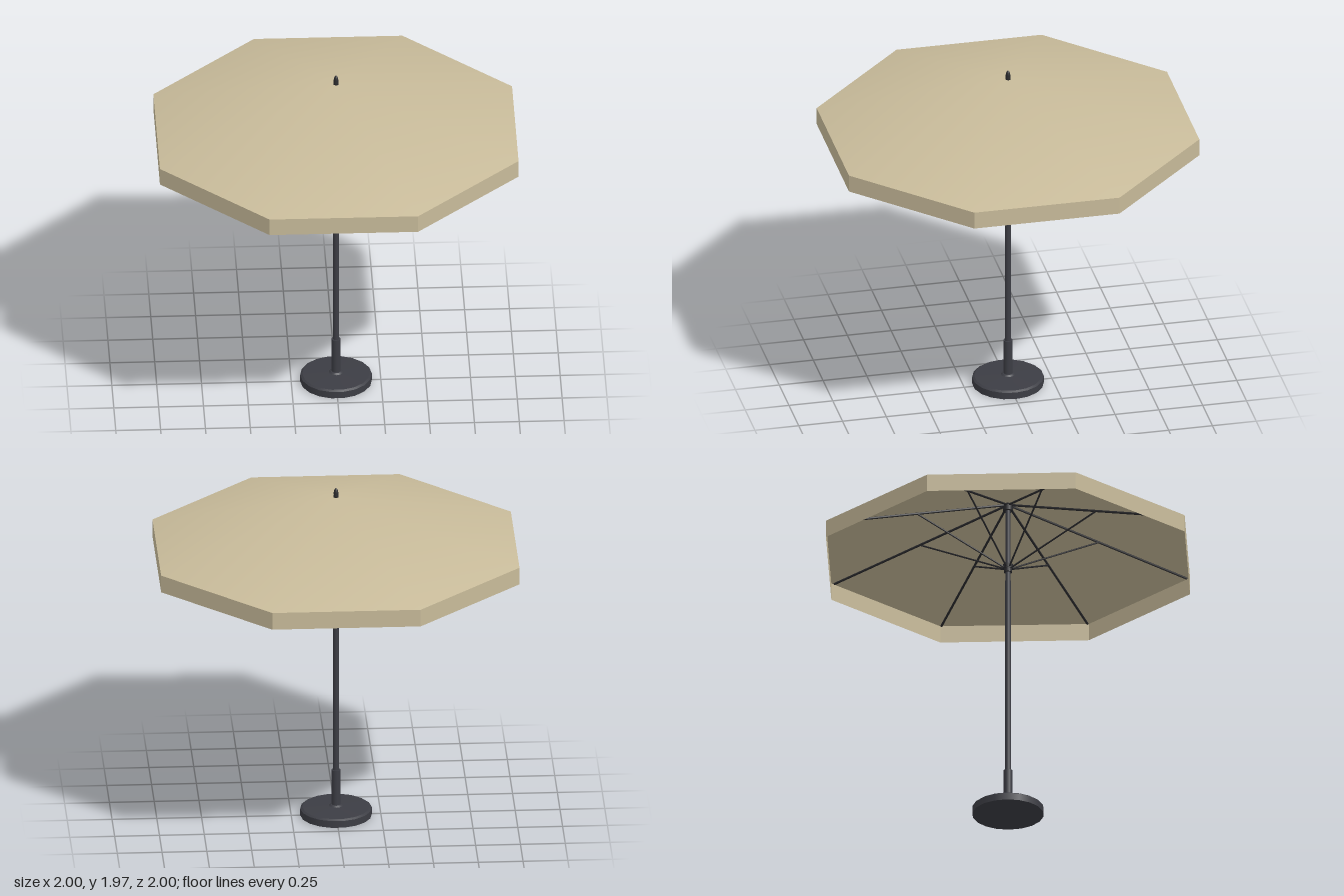
import * as THREE from 'three';
import { mergeVertices } from 'three/addons/utils/BufferGeometryUtils.js';

const SIDES = 8;
const RIM = 1 / Math.cos(Math.PI / SIDES); // corner radius for a half width of 1
const APEX_Y = 1.915, RIM_Y = 1.63, HEM_Y = 1.53;

export function createModel() {
  const fabric = new THREE.MeshStandardMaterial({ color: 0xc8bb9a, side: THREE.DoubleSide });
  fabric.name = 'beige fabric';
  const metal = new THREE.MeshStandardMaterial({ color: 0x3c3d44 });
  metal.name = 'charcoal metal';
  const dark = new THREE.MeshStandardMaterial({ color: 0x2a2a2d });
  dark.name = 'dark frame';

  const model = new THREE.Group();
  model.name = 'parasol';

  const add = (name, geometry, material, y = 0, parent = model) => {
    const mesh = new THREE.Mesh(geometry, material);
    mesh.name = name;
    mesh.position.y = y;
    parent.add(mesh);
    return mesh;
  };
  // Upright round part between two heights
  const column = (name, rTop, rBottom, y0, y1, material, sides = 16) =>
    add(name, new THREE.CylinderGeometry(rTop, rBottom, y1 - y0, sides), material, (y0 + y1) / 2);
  // Slim round bar between two points
  const bar = (name, a, b, radius, parent) => {
    const dir = b.clone().sub(a);
    const mesh = add(name, new THREE.CylinderGeometry(radius, radius, dir.length(), 6), dark, 0, parent);
    mesh.position.copy(a).add(b).multiplyScalar(0.5);
    mesh.quaternion.setFromUnitVectors(new THREE.Vector3(0, 1, 0), dir.normalize());
  };

  // Canopy: smoothly shaded eight-sided cone
  let cone = new THREE.ConeGeometry(RIM, APEX_Y - RIM_Y, SIDES, 1, true, Math.PI / SIDES);
  cone.deleteAttribute('normal');
  cone.deleteAttribute('uv');
  cone = mergeVertices(cone, 1e-4);
  cone.computeVertexNormals();
  add('canopy', cone, fabric, (APEX_Y + RIM_Y) / 2);

  // Valance: flat panels hanging from the rim
  const skirt = new THREE.CylinderGeometry(
    RIM, RIM, RIM_Y - HEM_Y, SIDES, 1, true, Math.PI / SIDES).toNonIndexed();
  skirt.computeVertexNormals();
  add('valance', skirt, fabric, (RIM_Y + HEM_Y) / 2);

  // Weighted base: bevelled disc with a shallow domed top
  const sideCount = 18;
  const base = new THREE.Group();
  base.name = 'base';
  base.rotation.y = Math.PI / 2;
  model.add(base);
  add('baseDisc', new THREE.CylinderGeometry(0.2, 0.2, 0.04, sideCount), metal, 0.02, base);
  add('baseBevel', new THREE.CylinderGeometry(0.188, 0.2, 0.008, sideCount), metal, 0.044, base);
  add('baseTop', new THREE.CylinderGeometry(0.045, 0.188, 0.008, sideCount), metal, 0.052, base);
  column('baseCollar', 0.03, 0.042, 0.054, 0.064, metal);
  column('baseSleeve', 0.025, 0.025, 0.05, 0.27, metal);

  // Pole with a slight taper
  column('pole', 0.0145, 0.0178, 0.05, 1.905, metal);

  // Hubs: sliding runner below, fixed crown under the canopy
  column('runnerHub', 0.028, 0.028, 1.51, 1.535, dark);
  column('runnerCollar', 0.023, 0.023, 1.488, 1.51, dark);
  column('crownHub', 0.028, 0.028, 1.865, 1.895, dark);

  // Ribs to each corner, with struts from the runner to their midpoints
  const frame = new THREE.Group();
  frame.name = 'frame';
  model.add(frame);
  const drop = 0.012;
  const roofY = r => APEX_Y - (APEX_Y - RIM_Y) * r / RIM - drop;
  for (let i = 0; i < SIDES; i++) {
    const a = (i + 0.5) * 2 * Math.PI / SIDES;
    const at = (r, y) => new THREE.Vector3(r * Math.sin(a), y, r * Math.cos(a));
    bar('rib', at(0.015, roofY(0.015)), at(1.065, roofY(1.065)), 0.0065, frame);
    bar('strut', at(0.02, 1.515), at(0.54, roofY(0.54)), 0.005, frame);
  }

  // Finial
  const profile = [
    [0, 1.9], [0.015, 1.9], [0.015, 1.92], [0.0125, 1.927], [0.0135, 1.935],
    [0.011, 1.95], [0.006, 1.961], [0, 1.966],
  ].map(([r, y]) => new THREE.Vector2(r, y));
  add('finial', new THREE.LatheGeometry(profile, 16), dark);

  return model;
}
